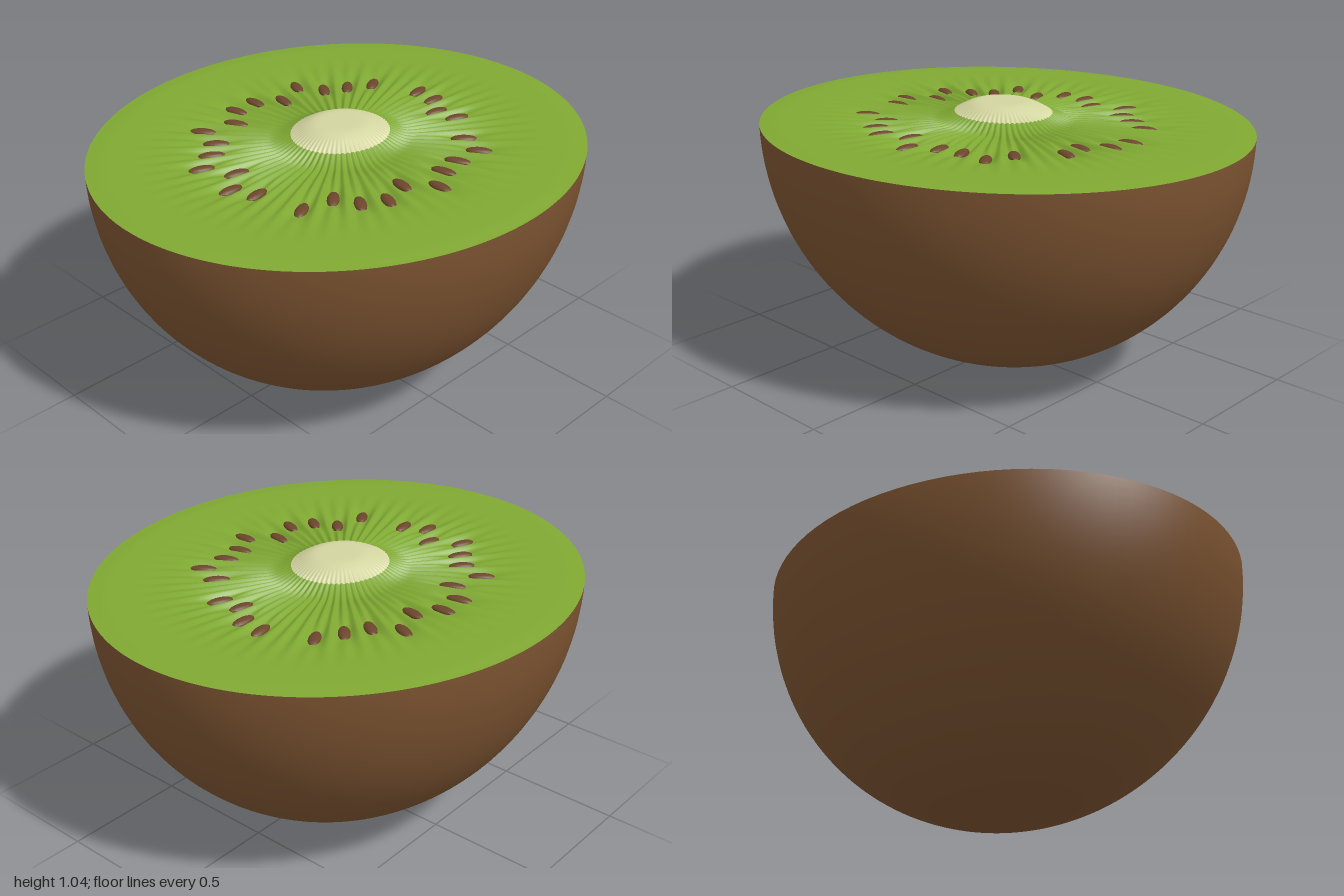
import * as THREE from 'three';

const RIM = 0.965;   // height of the cut face
const DEPTH = 0.9;   // z squash of the oval outline
const SLOTS = 32;    // seed positions around the core
const CORE = 0.2;    // radius of the pale core

// Distance of each seed from the centre; 0 leaves the slot empty
const seedRadii = [
  0.535, 0.47, 0.515, 0, 0.5, 0.57, 0.51, 0.5, 0.565, 0.46, 0.54, 0.53, 0.48, 0.57, 0, 0.52,
  0.555, 0.465, 0.57, 0.515, 0.5, 0.58, 0.48, 0.55, 0.547, 0.48, 0.58, 0.51, 0.526, 0.565, 0, 0.56,
];

const smooth = THREE.MathUtils.smoothstep;

// Height of the cut face: raised core, radial ribs and a hollow around each seed
function faceHeight(r, angle) {
  const bump = 0.07 * (1 - smooth(r, 0.09, 0.29));
  const ribs = 0.006 * smooth(r, 0.12, 0.3) * (1 - smooth(r, 0.5, 0.85));
  let y = RIM + bump + 0.006 * (1 - smooth(r, 0.93, 1)) + ribs * (Math.cos(angle * 64) - 1);
  const slot = Math.round(angle / (2 * Math.PI) * SLOTS);
  const seed = seedRadii[slot % SLOTS];
  if (seed) {
    const across = r * (angle - slot * 2 * Math.PI / SLOTS) / 0.026;
    const along = (r - seed) / 0.085;
    y -= 0.022 * Math.exp(-across * across - along * along);
  }
  return y;
}

// Polar grid; group 0 is the core, group 1 the flesh
function faceGeometry() {
  const n = 384;
  const radii = [];
  for (let i = 0; i <= 10; i++) radii.push(CORE * i / 10);
  for (let i = 1; i <= 40; i++) radii.push(CORE + (0.8 - CORE) * i / 40);
  for (let i = 1; i <= 8; i++) radii.push(0.8 + 0.2 * i / 8);
  const positions = [], index = [];
  radii.forEach((r) => {
    for (let j = 0; j < n; j++) {
      const a = j / n * 2 * Math.PI;
      positions.push(r * Math.cos(a), faceHeight(r, a), r * Math.sin(a) * DEPTH);
    }
  });
  for (let i = 0; i < radii.length - 1; i++) {
    for (let j = 0; j < n; j++) {
      const k = (j + 1) % n;
      const a = i * n + j, b = a + n, c = i * n + k, d = c + n;
      if (i > 0) index.push(a, c, b);
      index.push(c, d, b);
    }
  }
  const geometry = new THREE.BufferGeometry();
  geometry.setAttribute('position', new THREE.Float32BufferAttribute(positions, 3));
  geometry.setIndex(index);
  const coreCount = n * 3 * (1 + 2 * 9);
  geometry.addGroup(0, coreCount, 0);
  geometry.addGroup(coreCount, index.length - coreCount, 1);
  geometry.computeVertexNormals();
  return geometry;
}

export function createModel() {
  const material = (name, color) => {
    const m = new THREE.MeshStandardMaterial({ color });
    m.name = name;
    return m;
  };
  const skinBrown = material('skin brown', 0x7a5230);
  const fleshGreen = material('flesh green', 0x7fa832);
  const corePale = material('core cream', 0xd2d4a0);
  const seedBrown = material('seed brown', 0x6b452b);

  const model = new THREE.Group();
  model.name = 'halfFruit';

  // Skin: lower half of an ellipsoid
  const skinShape = new THREE.SphereGeometry(1, 96, 40, 0, Math.PI * 2, Math.PI / 2, Math.PI / 2);
  skinShape.scale(1, RIM, DEPTH);
  const skin = new THREE.Mesh(skinShape, skinBrown);
  skin.name = 'skin';
  skin.position.y = RIM;
  model.add(skin);

  // Cut face with core
  const face = new THREE.Mesh(faceGeometry(), [corePale, fleshGreen]);
  face.name = 'fleshAndCore';
  model.add(face);

  // Seeds lying in their hollows
  const seeds = new THREE.Group();
  seeds.name = 'seeds';
  const seedShape = new THREE.SphereGeometry(1, 14, 10);
  seedShape.scale(0.053, 0.014, 0.023);
  seedRadii.forEach((r, i) => {
    if (!r) return;
    const a = i / SLOTS * 2 * Math.PI;
    const x = r * Math.cos(a), z = r * Math.sin(a) * DEPTH;
    const seed = new THREE.Mesh(seedShape, seedBrown);
    seed.name = 'seed';
    seed.position.set(x, faceHeight(r, a) + 0.004, z);
    seed.rotation.y = -Math.atan2(z, x);
    seeds.add(seed);
  });
  model.add(seeds);
  return model;
}
